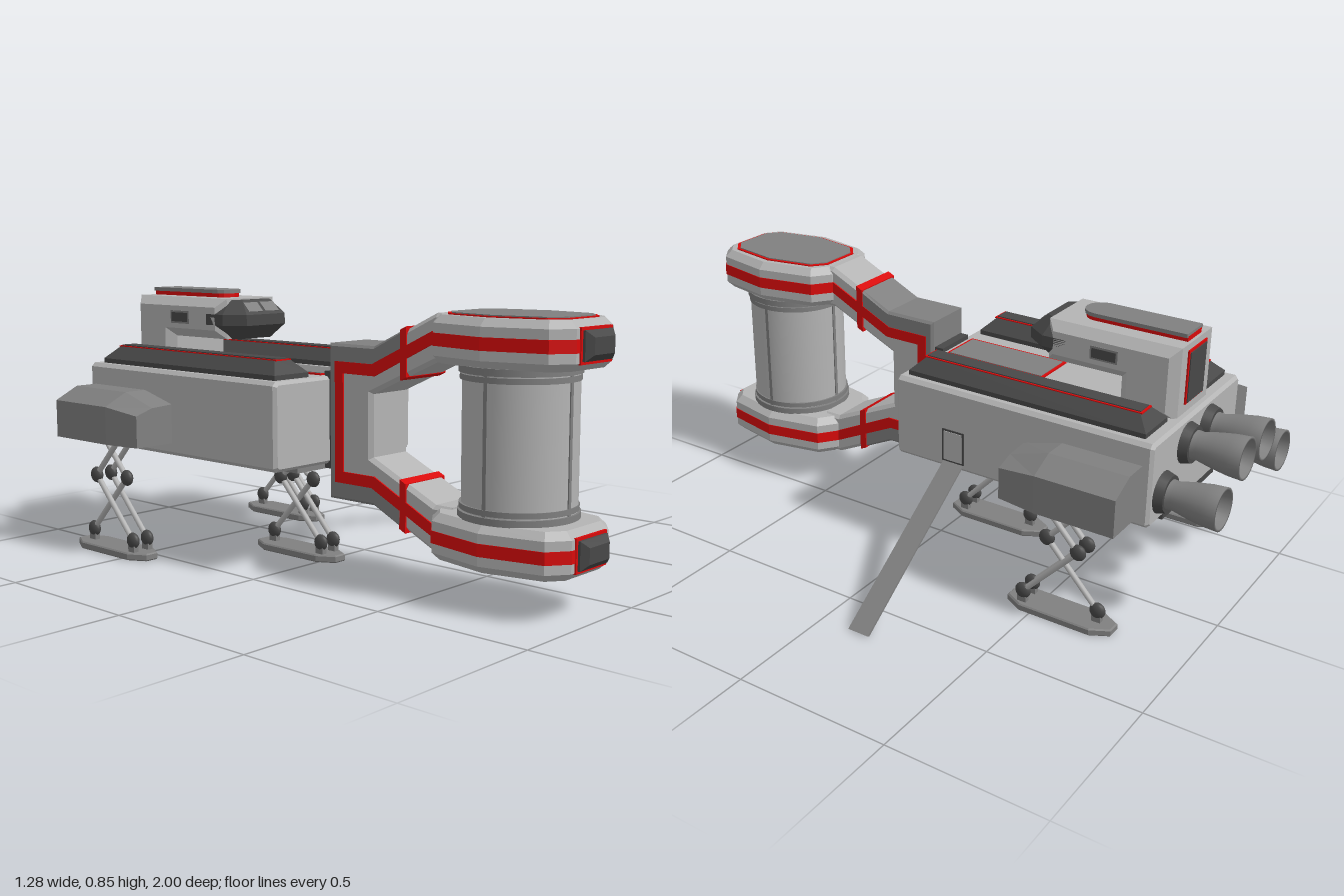
import * as THREE from 'three';

const CX = -0.173, MY = 0.465; // ship's centre line, mirror height of the fork
const mat = (name, color, side = THREE.FrontSide) => {
  const m = new THREE.MeshStandardMaterial({ color, side });
  m.name = name;
  return m;
};

export function createModel() {
  const light = mat('light grey', 0xb4b4b4), mid = mat('mid grey', 0x808080, THREE.DoubleSide);
  const dark = mat('dark grey', 0x484848), red = mat('red', 0xd80a0a);
  const root = new THREE.Group();
  root.name = 'spaceship';
  const ship = new THREE.Group();
  ship.name = 'ship';
  ship.position.x = CX;
  root.add(ship);

  const add = (name, geo, m, x = 0, y = 0, z = 0, parent = ship) => {
    const mesh = new THREE.Mesh(geo, m);
    mesh.name = name;
    mesh.position.set(x, y, z);
    parent.add(mesh);
    return mesh;
  };
  const box = (name, w, h, d, m, x, y, z, parent) => add(name, new THREE.BoxGeometry(w, h, d), m, x, y, z, parent);
  // Outline extruded along an axis and centred on it, with chamfered ends.
  // axis x: points are (z, y); axis y: points are (x, z); axis z: points are (x, y)
  const slab = (name, pts, depth, m, axis, bevel = 0, x = 0, y = 0, z = 0, parent = ship) => {
    const shape = new THREE.Shape(pts.map(p => new THREE.Vector2(p[0], p[1])));
    const g = new THREE.ExtrudeGeometry(shape, {
      depth: depth - 2 * bevel, bevelEnabled: bevel > 0, bevelThickness: bevel,
      bevelSize: bevel, bevelOffset: -bevel, bevelSegments: 1, curveSegments: 8
    });
    g.translate(0, 0, -(depth - 2 * bevel) / 2);
    if (axis === 'x') g.rotateY(-Math.PI / 2);
    if (axis === 'y') g.rotateX(Math.PI / 2);
    return add(name, g, m, x, y, z, parent);
  };
  const rect = (w, h) => [[-w, -h], [w, -h], [w, h], [-w, h]];
  // Closes a half outline with its mirror image in x
  const sym = half => [...half, ...half.slice().reverse().map(([x, v]) => [-x, v])];
  // Closes an upper side outline with its mirror image below
  const symY = half => [...half, ...half.slice().reverse().map(([z, y]) => [z, 2 * MY - y])];
  const rod = (name, a, b, r, m, parent) => {
    const d = b.clone().sub(a);
    const o = add(name, new THREE.CylinderGeometry(r, r, d.length(), 10), m, 0, 0, 0, parent);
    o.position.copy(a).add(b).multiplyScalar(0.5);
    o.quaternion.setFromUnitVectors(new THREE.Vector3(0, 1, 0), d.normalize());
  };

  // Front fork: C-shaped arm, grey outer casing and red side line
  slab('forkArm', symY([[0.56, 0.67], [0.56, 0.81], [0.5, 0.81], [0.27, 0.70], [0.095, 0.70]])
    .concat([[0.5, 0.26], [0.26, 0.37], [0.26, 0.56], [0.5, 0.67]]), 0.172, light, 'x', 0.012);
  slab('forkCasing', symY([[0.38, 0.683], [0.38, 0.756], [0.27, 0.703], [0.09, 0.703]])
    .concat([[0.27, 0.30], [0.13, 0.30], [0.13, 0.63], [0.27, 0.63]]), 0.178, mid, 'x', 0.008);
  slab('forkStripe', symY([[0.56, 0.725], [0.56, 0.76], [0.495, 0.76], [0.265, 0.65], [0.117, 0.65]])
    .concat([[0.5, 0.205], [0.275, 0.315], [0.15, 0.315], [0.15, 0.615], [0.275, 0.615], [0.5, 0.725]]), 0.182, red, 'x');
  for (const s of [1, -1]) {
    const f = y => MY + s * (y - MY);
    const ring = [[0.375, 0.61], [0.375, 0.757], [0.398, 0.768], [0.398, 0.621]].map(([z, y]) => [z, f(y)]);
    slab('forkRing', ring, 0.182, red, 'x');
  }
  box('hullConnector', 0.15, 0.3, 0.06, dark, 0, MY, 0.09);

  // Head pods at the ends of the fork
  const plan = sym([[0.09, 0.235], [0.15, 0.19], [0.19, 0], [0.15, -0.19], [0.09, -0.235]]);
  const scaled = (sx, sz) => plan.map(([x, z]) => [x * sx, z * sz]);
  for (const s of [1, -1]) {
    const pod = new THREE.Group();
    pod.name = s > 0 ? 'upperPod' : 'lowerPod';
    pod.position.set(0, MY + s * 0.278, 0.735);
    ship.add(pod);
    slab('podBody', plan, 0.135, light, 'y', 0.022, 0, 0, 0, pod);
    slab('podBand', scaled(1.012, 1.01), 0.036, red, 'y', 0, 0, 0, 0, pod);
    slab('capRim', scaled(0.78, 0.86), 0.006, red, 'y', 0, 0, s * 0.068, 0, pod);
    slab('capPlate', scaled(0.73, 0.82), 0.008, mid, 'y', 0, 0, s * 0.07, 0, pod);
    slab('frontLampRim', rect(0.075, 0.049), 0.012, red, 'z', 0, 0, 0, 0.234, pod);
    slab('frontLamp', rect(0.067, 0.041), 0.06, dark, 'z', 0.018, 0, 0, 0.235, pod);
    const collar = (r, h, y) => add('podCollar', new THREE.CylinderGeometry(r, r, h, 40), mid, 0, -s * y, 0, pod);
    collar(0.172, 0.02, 0.076);
    collar(0.168, 0.016, 0.098);
  }
  // Tank between the pods, with seams
  add('tank', new THREE.CylinderGeometry(0.163, 0.163, 0.46, 40), light, 0, MY, 0.737);
  for (let i = 0; i < 4; i++) {
    const a = i * Math.PI / 2;
    const seam = box('tankSeam', 0.012, 0.4, 0.006, mid, Math.sin(a) * 0.163, MY, 0.737 + Math.cos(a) * 0.163);
    seam.rotation.y = a;
  }

  // Main hull
  const chamfered = (w, h, c) => sym([[w - c, h], [w, h - c], [w, c - h], [w - c, -h]]);
  slab('hull', chamfered(0.307, 0.135, 0.012), 0.89, light, 'z', 0.01, 0, 0.465, -0.365);
  for (const s of [1, -1]) {
    const x = s * 0.207;
    slab('roofRail', rect(0.071, 0.41), 0.11, dark, 'y', 0.04, x, 0.6, -0.36);
    box('railStripe', 0.064, 0.004, 0.752, red, x, 0.655, -0.36);
    box('railCap', 0.052, 0.008, 0.738, dark, x, 0.656, -0.36);
  }
  box('roofPanelRim', 0.155, 0.006, 0.36, red, 0, 0.602, -0.135);
  box('roofPanel', 0.138, 0.008, 0.343, mid, 0, 0.603, -0.135);

  // Belly plates and cargo hatch
  box('bellyPlate', 0.37, 0.03, 0.38, mid, 0, 0.325, -0.14);
  box('cargoHatch', 0.37, 0.034, 0.29, dark, 0, 0.322, -0.655);
  box('hatchBeam', 0.37, 0.03, 0.04, dark, 0, 0.32, -0.495);
  box('hatchStripe', 0.372, 0.006, 0.01, red, 0, 0.304, -0.495);

  // Bridge on its neck
  slab('bridge', [[-0.35, 0.82], [-0.35, 0.69], [-0.60, 0.69], [-0.60, 0.59], [-0.785, 0.59], [-0.785, 0.82]],
    0.26, light, 'x', 0.028);
  slab('bridgeNose', sym([[0.085, -0.275], [0.13, -0.34], [0.13, -0.42]]), 0.125, dark, 'y', 0.045, 0, 0.753, 0);
  for (const x of [-0.036, 0.036]) {
    const pane = box('bridgeWindow', 0.06, 0.004, 0.04, mid, x, 0.793, -0.2975);
    pane.rotation.x = Math.PI / 4;
  }
  for (const s of [1, -1]) {
    box('sideWindowFrame', 0.008, 0.042, 0.092, mid, s * 0.128, 0.755, -0.55);
    box('sideWindow', 0.008, 0.03, 0.08, dark, s * 0.13, 0.755, -0.55);
  }
  const arc = (r, front) => {
    const pts = [[r, -0.775]];
    for (let i = 0; i <= 8; i++) pts.push([r * Math.cos(i * Math.PI / 8), front - r + r * Math.sin(i * Math.PI / 8)]);
    return [...pts, [-r, -0.775]];
  };
  slab('roofFinBase', arc(0.047, -0.425), 0.02, red, 'y', 0, 0, 0.826, 0);
  slab('roofFin', arc(0.053, -0.42), 0.012, mid, 'y', 0, 0, 0.839, 0);
  box('rearDoorRim', 0.125, 0.17, 0.008, red, 0, 0.715, -0.786);
  box('rearDoor', 0.11, 0.158, 0.008, dark, 0, 0.713, -0.789);

  // Four engines: the inner pair sits higher
  const bell = [[0.046, 0], [0.044, 0.02], [0.055, 0.07], [0.063, 0.12], [0.066, 0.165], [0.058, 0.165], [0.036, 0.02], [0, 0.02]]
    .map(p => new THREE.Vector2(...p));
  for (const [x, y] of [[-0.225, 0.42], [-0.075, 0.518], [0.075, 0.518], [0.225, 0.42]]) {
    const mount = add('engineMount', new THREE.CylinderGeometry(0.057, 0.066, 0.03, 24), dark, x, y, -0.823);
    mount.rotation.x = -Math.PI / 2;
    const nozzle = add('engineNozzle', new THREE.LatheGeometry(bell, 28), mid, x, y, -0.835);
    nozzle.rotation.x = -Math.PI / 2;
  }

  // Side pods: sections of (distance out, height) lofted from back to front
  const sections = [
    [-0.78, [[0.30, 0.37], [0.467, 0.37], [0.467, 0.49], [0.385, 0.53], [0.30, 0.53]]],
    [-0.52, [[0.30, 0.37], [0.467, 0.37], [0.467, 0.49], [0.385, 0.53], [0.30, 0.53]]],
    [-0.39, [[0.30, 0.37], [0.447, 0.37], [0.447, 0.47], [0.385, 0.49], [0.30, 0.495]]]
  ];
  const sidePod = s => {
    const v = [];
    const tri = (a, b, c) => v.push(...(s > 0 ? [a, b, c] : [a, c, b]).flat());
    const rings = sections.map(([z, pts]) => pts.map(([x, y]) => [s * x, y, z]));
    for (let j = 0; j < 2; j++) for (let i = 0; i < 5; i++) {
      const k = (i + 1) % 5, a = rings[j], b = rings[j + 1];
      tri(a[i], a[k], b[k]);
      tri(a[i], b[k], b[i]);
    }
    for (let i = 1; i < 4; i++) {
      tri(rings[0][0], rings[0][i + 1], rings[0][i]);
      tri(rings[2][0], rings[2][i], rings[2][i + 1]);
    }
    const g = new THREE.BufferGeometry();
    g.setAttribute('position', new THREE.Float32BufferAttribute(v, 3));
    g.computeVertexNormals();
    return g;
  };
  for (const s of [1, -1]) add('sidePod', sidePod(s), mid);

  // Scissor landing legs: two outer struts cross one centre strut
  const leg = (name, x, z, top) => {
    const g = new THREE.Group();
    g.name = name;
    g.position.set(x, 0, z);
    ship.add(g);
    slab('foot', sym([[0.022, 0.178], [0.054, 0.12], [0.054, -0.12], [0.022, -0.178]]), 0.024, mid, 'y', 0.004, 0, 0.012, 0, g);
    for (const [dx, s] of [[-0.028, 1], [0.028, 1], [0, -1]]) {
      const low = new THREE.Vector3(dx, 0.06, s * 0.12), knee = new THREE.Vector3(dx, 0.252, -s * 0.06);
      rod('lowerStrut', low, knee, 0.009, light, g);
      rod('upperStrut', knee, new THREE.Vector3(dx, top, s * 0.06), 0.009, light, g);
      for (const p of [low, knee]) {
        const joint = add('joint', new THREE.SphereGeometry(0.026, 14, 10), dark, p.x, p.y, p.z, g);
        joint.scale.x = 0.6;
      }
      box('ankle', 0.018, 0.04, 0.03, mid, dx, 0.035, s * 0.12, g);
    }
  };
  leg('frontLeg', 0, -0.125, 0.33);
  leg('leftLeg', 0.385, -0.585, 0.38);
  leg('rightLeg', -0.385, -0.585, 0.38);

  // Side door and boarding ramp
  box('doorFrame', 0.006, 0.11, 0.08, dark, 0.307, 0.41, -0.137);
  box('door', 0.006, 0.098, 0.066, light, 0.309, 0.41, -0.137);
  slab('ramp', [[0.305, 0.356], [0.305, 0.348], [0.803, 0], [0.812, 0.004]], 0.072, mid, 'z', 0, 0, 0, -0.137);
  return root;
}
